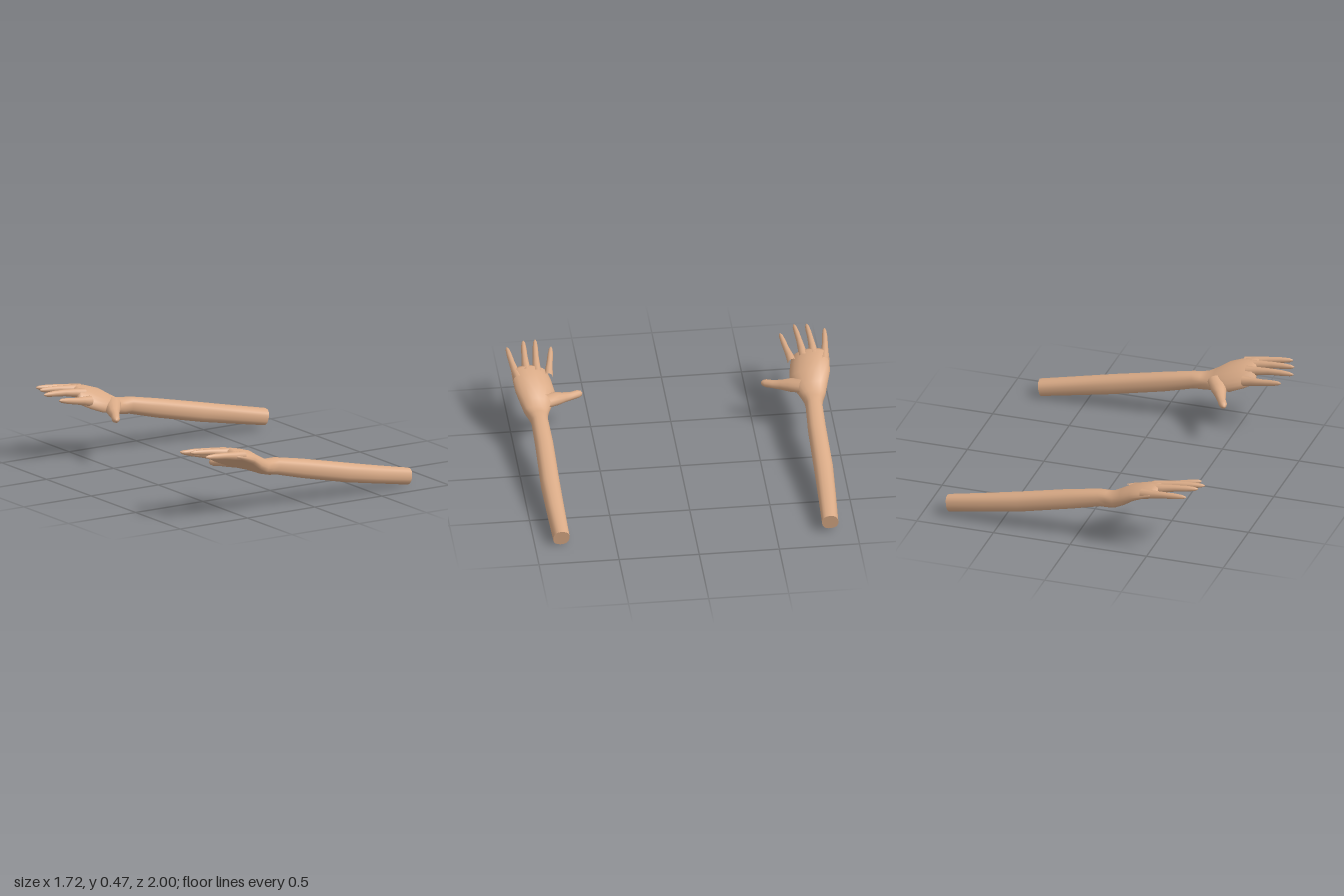
import * as THREE from 'three';

const skin = new THREE.MeshStandardMaterial({ color: 0xd9aa86 });
skin.name = 'skin';
const UP = new THREE.Vector3(0, 1, 0);

// Rings of points round a path. Section: [x, y, z, halfWidth, halfHeight, tilt, arch]
function makeRings(sections, sides, power) {
  const centres = sections.map(s => new THREE.Vector3(s[0], s[1], s[2]));
  return sections.map(([, , , hw, hh, tilt = 0, arch = 0], i) => {
    const next = centres[Math.min(i + 1, centres.length - 1)];
    const t = next.clone().sub(centres[Math.max(i - 1, 0)]).normalize();
    const w = UP.clone().cross(t).normalize().applyAxisAngle(t, tilt);
    const h = t.clone().cross(w);
    const ring = [];
    for (let j = 0; j < sides; j++) {
      const a = (j / sides) * Math.PI * 2, c = Math.cos(a), s = Math.sin(a);
      const u = Math.sign(c) * Math.abs(c) ** power;
      const v = Math.sign(s) * Math.abs(s) ** power;
      ring.push(centres[i].clone().addScaledVector(w, u * hw)
        .addScaledVector(h, v * hh + arch * (0.5 - u * u)));
    }
    return ring;
  });
}

function buildGeometry(points, triangles, mirror) {
  const geometry = new THREE.BufferGeometry();
  const pos = points.flatMap(p => [p.x, p.y, mirror ? -p.z : p.z]);
  const index = triangles.flatMap(([a, b, c]) => (mirror ? [a, c, b] : [a, b, c]));
  geometry.setAttribute('position', new THREE.Float32BufferAttribute(pos, 3));
  geometry.setIndex(index);
  geometry.computeVertexNormals();
  return geometry;
}

const middle = ring => ring.reduce((m, p) => m.add(p), new THREE.Vector3()).divideScalar(ring.length);

// Smooth skin over the rings, closed at the far end
function loft(rings, mirror) {
  const n = rings[0].length, last = (rings.length - 1) * n, tris = [];
  for (let i = 0; i < rings.length - 1; i++) {
    for (let j = 0; j < n; j++) {
      const k = (j + 1) % n, a = i * n, b = a + n;
      tris.push([a + j, a + k, b + j], [a + k, b + k, b + j]);
    }
  }
  for (let j = 0; j < n; j++) tris.push([last + j, last + (j + 1) % n, last + n]);
  return buildGeometry([...rings.flat(), middle(rings.at(-1))], tris, mirror);
}

// Flat cut at the first ring
function cap(ring, mirror) {
  const n = ring.length;
  const tris = ring.map((_, j) => [j, n, (j + 1) % n]);
  return buildGeometry([...ring, middle(ring)], tris, mirror);
}

const armSections = [
  [0.797, 0.06, 0.836, 0.051, 0.053, 0.12],
  [0.55, 0.108, 0.844, 0.056, 0.057, 0.06],
  [0.33, 0.152, 0.85, 0.06, 0.061],
  [0.0, 0.225, 0.848, 0.057, 0.06],
  [-0.2, 0.27, 0.853, 0.053, 0.053],
  [-0.25, 0.272, 0.856, 0.06, 0.051, 0.05],
  [-0.3, 0.28, 0.86, 0.078, 0.048, 0.1, 0.005],
  [-0.36, 0.305, 0.854, 0.103, 0.048, 0.2, 0.015],
  [-0.44, 0.342, 0.85, 0.13, 0.048, 0.28, 0.028],
  [-0.52, 0.372, 0.86, 0.128, 0.042, 0.26, 0.03],
  [-0.585, 0.395, 0.87, 0.12, 0.032, 0.24, 0.03],
  [-0.605, 0.4, 0.872, 0.105, 0.018, 0.24, 0.028],
];

// Finger: base, knuckle and tip points
const fingers = {
  indexFinger: [[-0.55, 0.365, 0.76], [-0.68, 0.387, 0.735], [-0.81, 0.413, 0.712]],
  middleFinger: [[-0.55, 0.4, 0.83], [-0.7, 0.425, 0.82], [-0.862, 0.437, 0.805]],
  ringFinger: [[-0.55, 0.41, 0.895], [-0.7, 0.435, 0.89], [-0.842, 0.448, 0.881]],
  littleFinger: [[-0.5, 0.395, 0.953], [-0.65, 0.42, 0.974], [-0.8, 0.436, 0.988]],
};

function fingerSections(points) {
  const curve = new THREE.CatmullRomCurve3(points.map(p => new THREE.Vector3(...p)));
  const radii = [[0, 0.03], [0.25, 0.024], [0.5, 0.019], [0.75, 0.017], [0.93, 0.012], [1, 0.004]];
  return radii.map(([t, r]) => [...curve.getPoint(t).toArray(), r, r * 1.1]);
}

const thumbSections = [
  [-0.36, 0.315, 0.8, 0.055, 0.042],
  [-0.4, 0.3, 0.73, 0.05, 0.04],
  [-0.427, 0.288, 0.68, 0.036, 0.031],
  [-0.45, 0.28, 0.63, 0.027, 0.025],
  [-0.475, 0.275, 0.585, 0.026, 0.024],
  [-0.485, 0.273, 0.565, 0.018, 0.017],
  [-0.489, 0.272, 0.557, 0.006, 0.006],
];

function makeArm(name, mirror) {
  const arm = new THREE.Group();
  arm.name = name;
  const add = (part, geometry) => {
    const mesh = new THREE.Mesh(geometry, skin);
    mesh.name = part;
    arm.add(mesh);
  };
  const armRings = makeRings(armSections, 20, 0.85);
  add('forearmAndPalm', loft(armRings, mirror));
  add('elbowCut', cap(armRings[0], mirror));
  for (const [part, points] of Object.entries(fingers)) {
    add(part, loft(makeRings(fingerSections(points), 10, 1), mirror));
  }
  add('thumb', loft(makeRings(thumbSections, 12, 1), mirror));
  return arm;
}

export function createModel() {
  const model = new THREE.Group();
  model.name = 'pairOfArms';
  const frontArm = makeArm('frontArm', false);
  const backArm = makeArm('backArm', true);
  backArm.position.set(0.047, 0.02, 0);
  model.add(frontArm, backArm);
  return model;
}
